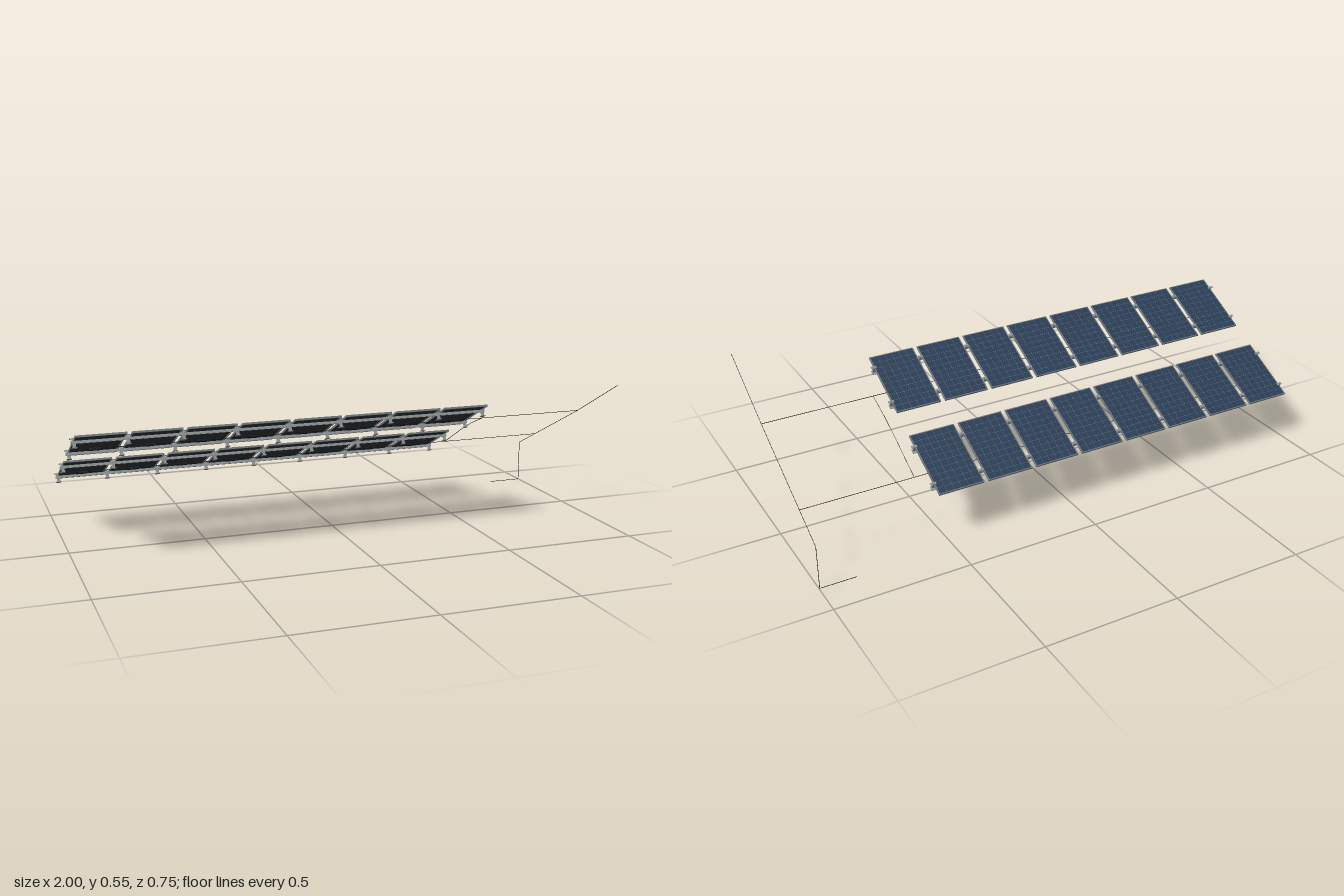
import * as THREE from 'three';
import { mergeGeometries } from 'three/addons/utils/BufferGeometryUtils.js';

const mat = (color) => new THREE.MeshStandardMaterial({ color });
const TILT = 0.467;             // roof slope, rising towards +z
const COUNT = 8, PITCH = 0.1922, FIRST = -0.9025;
const W = 0.175, L = 0.262, T = 0.007;
const RAILS = [-0.082, 0.082];

const box = (w, h, d, x = 0, y = 0, z = 0) => new THREE.BoxGeometry(w, h, d).translate(x, y, z);

function part(name, geometry, material, parent) {
  const mesh = new THREE.Mesh(geometry, material);
  mesh.name = name;
  parent.add(mesh);
  return mesh;
}

// straight-segment wire through a list of points
function wire(points) {
  const path = new THREE.CurvePath();
  const v = points.map((p) => new THREE.Vector3(...p));
  for (let i = 1; i < v.length; i++) path.add(new THREE.LineCurve3(v[i - 1], v[i]));
  return mergeGeometries(path.curves.map((c) => new THREE.TubeGeometry(c, 1, 0.001, 6)));
}

export function createModel() {
  const model = new THREE.Group();
  model.name = 'solarArray';

  const frameMat = mat(0x70777a), cellMat = mat(0x2a3d55), gridMat = mat(0x66788c);
  const backMat = mat(0x2d3033), metalMat = mat(0x8c9294), blackMat = mat(0x111111);

  // panel frame: four bars
  const bar = 0.0035;
  const frameGeo = mergeGeometries([
    ...[-1, 1].map((s) => box(bar, T, L, s * (W - bar) / 2)),
    ...[-1, 1].map((s) => box(W - 2 * bar, T, bar, 0, 0, s * (L - bar) / 2)),
  ]);

  // glass sheet over the laminate, with a 6 x 10 field of cells
  const iw = W - 2 * bar, il = L - 2 * bar;
  const laminateGeo = box(iw, 0.0012, il, 0, 0.002);
  const backGeo = box(iw, 0.0012, il, 0, 0.0006);
  const cells = [];
  const cw = iw / 6, cl = il / 10;
  for (let i = 0; i < 6; i++) {
    for (let j = 0; j < 10; j++) {
      cells.push(new THREE.PlaneGeometry(cw - 0.0009, cl - 0.0009)
        .rotateX(-Math.PI / 2)
        .translate((i - 2.5) * cw, 0.003, (j - 4.5) * cl));
    }
  }
  const cellGeo = mergeGeometries(cells);

  // junction box and the two plug connectors beneath each panel
  const junctionGeo = box(0.04, 0.006, 0.018, 0, -0.003, -0.062);
  const plugGeo = mergeGeometries([-1, 1].flatMap((s) => [
    new THREE.CylinderGeometry(0.0028, 0.0028, 0.018, 10)
      .rotateZ(Math.PI / 2).translate(s * 0.05, -0.008, -0.031),
    new THREE.CylinderGeometry(0.001, 0.001, 0.046, 6)
      .rotateX(Math.PI / 2).rotateY(-s * 0.8).translate(s * 0.034, -0.007, -0.045),
  ]));

  // support foot: base plate, web and fixing bolt, hanging below a rail
  const footGeo = mergeGeometries([
    box(0.018, 0.0018, 0.018, 0, -0.0275, 0),
    box(0.012, 0.02, 0.003, 0, -0.018, 0.002),
    new THREE.CylinderGeometry(0.0022, 0.0022, 0.01, 6)
      .rotateX(Math.PI / 2).translate(0, -0.012, 0.003),
  ]);
  const clampGeo = mergeGeometries([
    box(0.022, 0.0014, 0.01, 0, 0.0043, 0),
    box(0.006, 0.01, 0.01, 0, -0.001, 0),
    new THREE.CylinderGeometry(0.002, 0.002, 0.002, 6).translate(0, 0.006, 0),
  ]);

  function makeRow(name, y, z) {
    const row = new THREE.Group();
    row.name = name;
    row.position.set(0, y, z);
    row.rotation.x = -TILT;
    model.add(row);

    for (let i = 0; i < COUNT; i++) {
      const panel = new THREE.Group();
      panel.name = 'panel';
      panel.position.x = FIRST + i * PITCH;
      row.add(panel);
      part('panelFrame', frameGeo, frameMat, panel);
      part('laminate', laminateGeo, gridMat, panel);
      part('cells', cellGeo, cellMat, panel);
      part('backSheet', backGeo, backMat, panel);
      part('junctionBox', junctionGeo, blackMat, panel);
      part('connectors', plugGeo, blackMat, panel);
    }

    for (const rz of RAILS) {
      // slotted rail: two sides and a web
      part('rail', mergeGeometries([
        box(1.535, 0.009, 0.002, -0.2315, -0.008, rz - 0.003),
        box(1.535, 0.009, 0.002, -0.2315, -0.008, rz + 0.003),
        box(1.535, 0.002, 0.006, -0.2315, -0.009, rz),
      ]), metalMat, row);
      // feet and clamps at the gaps and at both row ends
      for (let i = 0; i <= COUNT; i++) {
        const x = THREE.MathUtils.clamp(FIRST + (i - 0.5) * PITCH, -0.989, 0.526);
        part('foot', footGeo, metalMat, row).position.set(x, 0, rz);
        const cx = FIRST + (i - 0.5) * PITCH + (i === 0 ? 0.006 : i === COUNT ? -0.006 : 0);
        part('clamp', clampGeo, metalMat, row).position.set(cx, 0, rz);
      }
    }
  }
  makeRow('upperRow', 0.42, 0.118);
  makeRow('lowerRow', 0.254, -0.213);

  // string cables under each row, running out to the trunk
  const strings = [[0.399, 0.094], [0.233, -0.237]];
  for (const [y, z] of strings) {
    part('stringCable', wire([[-0.95, y, z], [0.58, y, z], [0.998, y, z]]), blackMat, model);
  }
  part('linkCable', wire([
    [0.58, 0.399, 0.094], [0.58, 0.36, 0], [0.58, 0.312, -0.095], [0.58, 0.233, -0.237],
  ]), blackMat, model);

  // trunk cable down the slope, down the wall and out along the ground
  part('trunkCable', wire([
    [0.998, 0.55, 0.372], [0.998, 0.399, 0.094], [0.998, 0.166, -0.372],
    [0.998, 0.001, -0.372], [0.865, 0.001, -0.372],
  ]), blackMat, model);

  return model;
}
